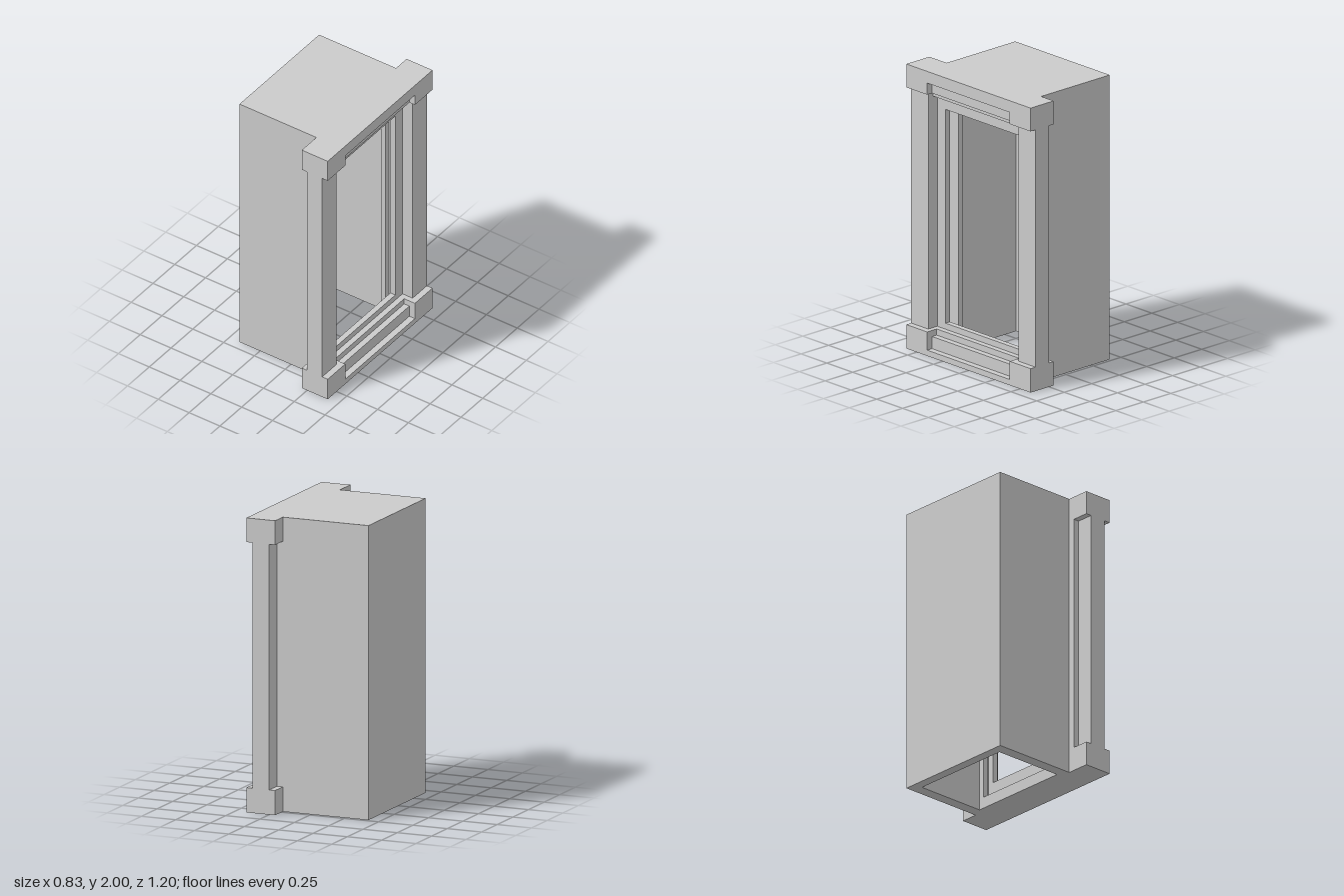
import * as THREE from 'three';

const material = new THREE.MeshStandardMaterial({ color: 0xcccccc });

// Box given by its limits on each axis
function block(parent, name, [x0, x1], [y0, y1], [z0, z1]) {
  const mesh = new THREE.Mesh(new THREE.BoxGeometry(x1 - x0, y1 - y0, z1 - z0), material);
  mesh.position.set((x0 + x1) / 2, (y0 + y1) / 2, (z0 + z1) / 2);
  mesh.name = name;
  parent.add(mesh);
}

// Upright rectangular ring facing +x, made of two jambs, a sill and a head
function ring(parent, name, x, [y0, y1], [z0, z1], [hy0, hy1], [hz0, hz1]) {
  const group = new THREE.Group();
  group.name = name;
  block(group, name + 'RightJamb', x, [y0, y1], [z0, hz0]);
  block(group, name + 'LeftJamb', x, [y0, y1], [hz1, z1]);
  block(group, name + 'Sill', x, [y0, hy0], [hz0, hz1]);
  block(group, name + 'Head', x, [hy1, y1], [hz0, hz1]);
  parent.add(group);
}

export function createModel() {
  const model = new THREE.Group();
  model.name = 'framedCabinet';

  // Hollow body, open underneath and set slightly off centre in z
  const body = new THREE.Group();
  body.name = 'body';
  model.add(body);
  block(body, 'backWall', [-0.417, -0.35], [0, 2], [-0.48, 0.435]);
  block(body, 'sideWallRight', [-0.35, 0.17], [0, 2], [-0.48, -0.4]);
  block(body, 'sideWallLeft', [-0.35, 0.17], [0, 2], [0.355, 0.435]);
  block(body, 'roof', [-0.35, 0.17], [1.96, 2], [-0.4, 0.355]);
  ring(body, 'frontLip', [0.17, 0.207], [0, 2], [-0.48, 0.435], [0.08, 1.835], [-0.362, 0.318]);

  // Backing panel and window frame
  ring(model, 'backingPanel', [0.207, 0.25], [0.04, 1.9], [-0.48, 0.48], [0.08, 1.835], [-0.4, 0.4]);
  ring(model, 'windowFrame', [0.25, 0.29], [0.1, 1.84], [-0.44, 0.44], [0.21, 1.713], [-0.355, 0.358]);

  // Sill and lintel with their stepped mouldings
  block(model, 'sill', [0.207, 0.372], [0, 0.08], [-0.44, 0.44]);
  block(model, 'sillStep', [0.25, 0.372], [0.08, 0.125], [-0.44, 0.44]);
  block(model, 'sillMoulding', [0.25, 0.33], [0.125, 0.168], [-0.437, 0.437]);
  block(model, 'sillFoot', [0.372, 0.417], [0, 0.04], [-0.4, 0.4]);
  block(model, 'lintel', [0.207, 0.372], [1.836, 2], [-0.44, 0.44]);
  block(model, 'lintelCap', [0.372, 0.417], [1.918, 2], [-0.4, 0.4]);
  block(model, 'lintelMoulding', [0.25, 0.33], [1.796, 1.836], [-0.437, 0.437]);

  // Posts with base and capital blocks, mirrored in z
  for (const side of [-1, 1]) {
    const span = (a, b) => (side > 0 ? [a, b] : [-b, -a]);
    block(model, 'post', [0.25, 0.372], [0.168, 1.836], span(0.437, 0.602));
    block(model, 'postBase', [0.207, 0.417], [0, 0.168], span(0.4, 0.602));
    block(model, 'postCapital', [0.207, 0.417], [1.836, 2], span(0.4, 0.602));
  }
  return model;
}
